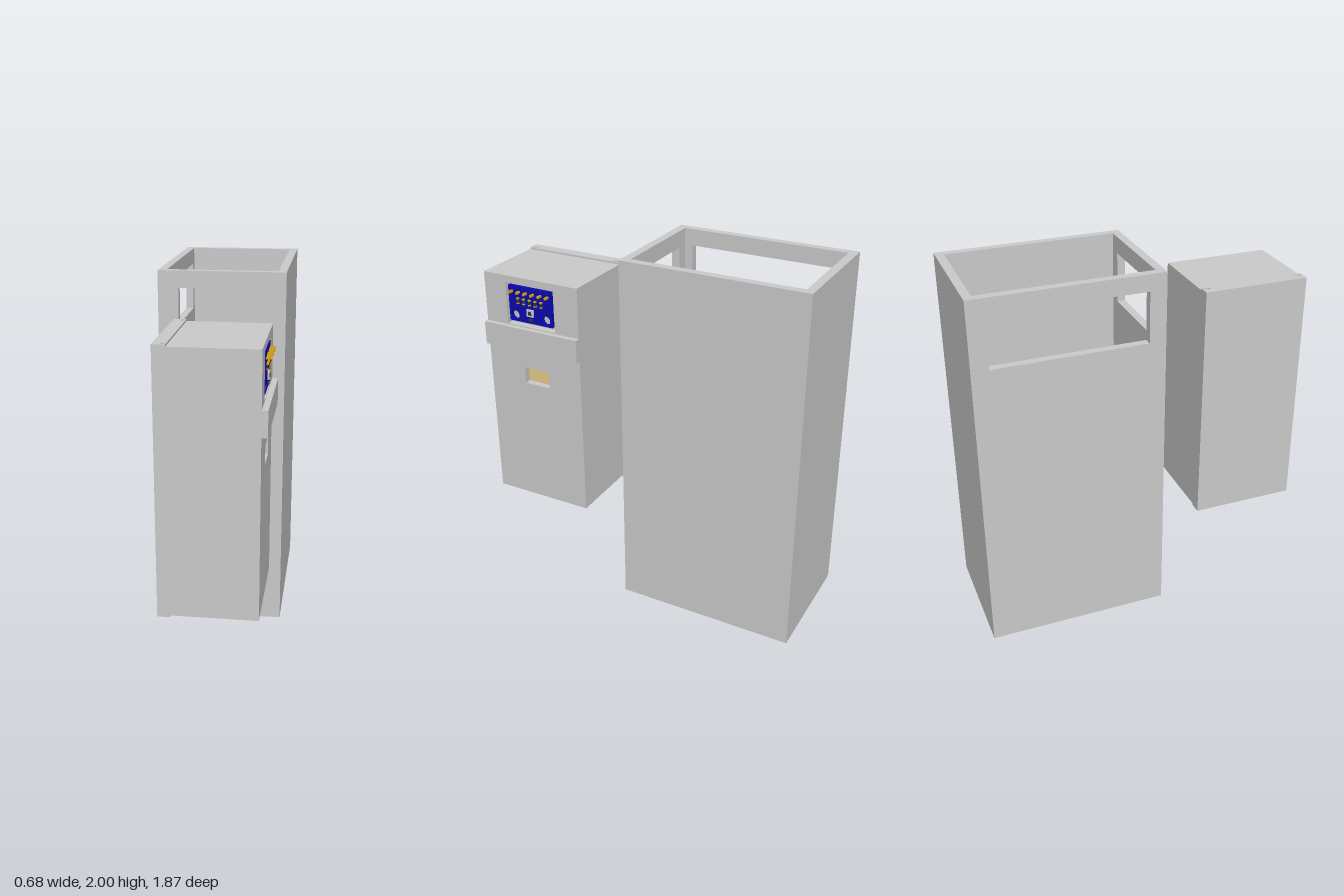
import * as THREE from 'three';

const mat = (color) => new THREE.MeshStandardMaterial({ color });
const grey = mat(0xcccccc), blue = mat(0x0a0ab4), gold = mat(0xd9a514);
const dark = mat(0x333333), tan = mat(0xe6cf8a);

function add(parent, name, geometry, material = grey) {
  const mesh = new THREE.Mesh(geometry, material);
  mesh.name = name;
  parent.add(mesh);
  return mesh;
}

// Box given by its limits on each axis
function box(parent, name, [x0, x1], [y0, y1], [z0, z1], material) {
  const mesh = add(parent, name, new THREE.BoxGeometry(x1 - x0, y1 - y0, z1 - z0), material);
  mesh.position.set((x0 + x1) / 2, (y0 + y1) / 2, (z0 + z1) / 2);
  return mesh;
}

function rect([a0, a1], [b0, b1], holes = []) {
  const s = new THREE.Shape([[a0, b0], [a1, b0], [a1, b1], [a0, b1]].map(p => new THREE.Vector2(...p)));
  s.holes.push(...holes);
  return s;
}

function circle(a, b, r) {
  const p = new THREE.Path();
  p.absarc(a, b, r, 0, Math.PI * 2, true);
  return p;
}

// Slot with round ends, long in the second axis
function slot(a, b, r, half) {
  const s = new THREE.Shape();
  s.absarc(a, b + half, r, 0, Math.PI, false);
  s.absarc(a, b - half, r, Math.PI, Math.PI * 2, false);
  s.closePath();
  return s;
}

const extrude = (shape, depth) =>
  new THREE.ExtrudeGeometry(shape, { depth, bevelEnabled: false, curveSegments: 12 });
// Shape drawn in (z, y), reaching from x towards -x
const alongX = (shape, x, depth) => extrude(shape, depth).rotateY(-Math.PI / 2).translate(x, 0, 0);
// Shape drawn in (x, z), reaching from y downwards
const alongY = (shape, y, depth) => extrude(shape, depth).rotateX(Math.PI / 2).translate(0, y, 0);

function makeBin() {
  const g = new THREE.Group();
  g.name = 'openBin';
  const X = 0.34, xi = 0.295, z0 = -0.935, z1 = 0.065, t = 0.045;
  box(g, 'floor', [-X, X], [0, t], [z0, z1]);
  box(g, 'backWall', [-X, X], [t, 2], [z0, z0 + t]);
  box(g, 'leftWall', [xi, X], [t, 2], [z0 + t, z1 - t]);
  const frontHole = rect([-0.23, 0.23], [1.635, 1.91]);
  add(g, 'frontWall', extrude(rect([-X, X], [t, 2], [frontHole]), t)).position.z = z1 - t;
  const sideHole = rect([-0.845, -0.025], [1.635, 1.91]);
  add(g, 'rightWall', alongX(rect([z0 + t, z1 - t], [t, 2], [sideHole]), -xi, t));
  return g;
}

function makeSensorBoard() {
  const g = new THREE.Group();
  g.name = 'sensorBoard';
  const face = 0.296;
  const holes = [0.545, 0.743].map(z => circle(z, 1.575, 0.025));
  add(g, 'circuitBoard', alongX(rect([0.508, 0.78], [1.54, 1.74], holes), face, 0.02), blue);

  // Header pins and the row of small components
  for (let i = 0; i < 6; i++) {
    const z = 0.528 + i * 0.0455;
    box(g, 'pin', [face, 0.325], [1.704, 1.716], [z - 0.006, z + 0.006], gold);
  }
  for (let i = 0; i < 5; i++) {
    const z = 0.57 + i * 0.037;
    box(g, 'component', [face, 0.306], [1.65, 1.672], [z - 0.006, z + 0.006], dark);
    for (const y of [1.648, 1.674])
      box(g, 'componentEnd', [face, 0.307], [y - 0.004, y + 0.004], [z - 0.007, z + 0.007], gold);
  }

  // Sensor chip
  box(g, 'chip', [face, 0.306], [1.582, 1.622], [0.622, 0.664]);
  box(g, 'chipWindow', [0.306, 0.308], [1.592, 1.612], [0.633, 0.653], dark);
  box(g, 'capacitor', [face, 0.304], [1.556, 1.568], [0.63, 0.656], dark);
  return g;
}

function makeControlBox() {
  const g = new THREE.Group();
  g.name = 'controlBox';
  const Z = [0.345, 0.935], wall = 0.04, face = 0.295;

  // Body with pierced front panel and pierced underside
  box(g, 'body', [-0.145, face - wall], [0.47, 1.79], Z);
  const holes = [rect([0.495, 0.798], [1.515, 1.752]), rect([0.552, 0.708], [1.175, 1.27])];
  add(g, 'sensorPanel', alongX(rect(Z, [0.45, 1.79], holes), face, wall));
  const port = slot(0.16, 0.64, 0.02, 0.038);
  add(g, 'underside', alongY(rect([-0.145, face - wall], Z, [port]), 0.47, 0.02));

  // Charging port: thin rim with a tongue inside
  const rim = slot(0.16, 0.64, 0.02, 0.038);
  rim.holes.push(slot(0.16, 0.64, 0.015, 0.038));
  add(g, 'portRim', alongY(rim, 0.47, 0.025));
  box(g, 'portTongue', [0.155, 0.165], [0.452, 0.47], [0.605, 0.675]);

  // Hood under the sensor and the small display
  box(g, 'ledge', [face, 0.325], [1.38, 1.51], Z);
  box(g, 'display', [face - wall, face - wall + 0.003], [1.175, 1.27], [0.552, 0.708], tan);

  // Lid with raised lips, notched near both ends
  box(g, 'lid', [-0.205, -0.145], [0.45, 1.79], Z);
  const notches = [0.352, 0.893].map(z => rect([-0.163, -0.148], [z, z + 0.035]));
  for (const y of [1.8, 0.45])
    add(g, 'lidLip', alongY(rect([-0.205, -0.14], Z, notches), y, 0.01));

  g.add(makeSensorBoard());
  return g;
}

export function createModel() {
  const model = new THREE.Group();
  model.name = 'binWithControlBox';
  model.add(makeBin(), makeControlBox());
  return model;
}
